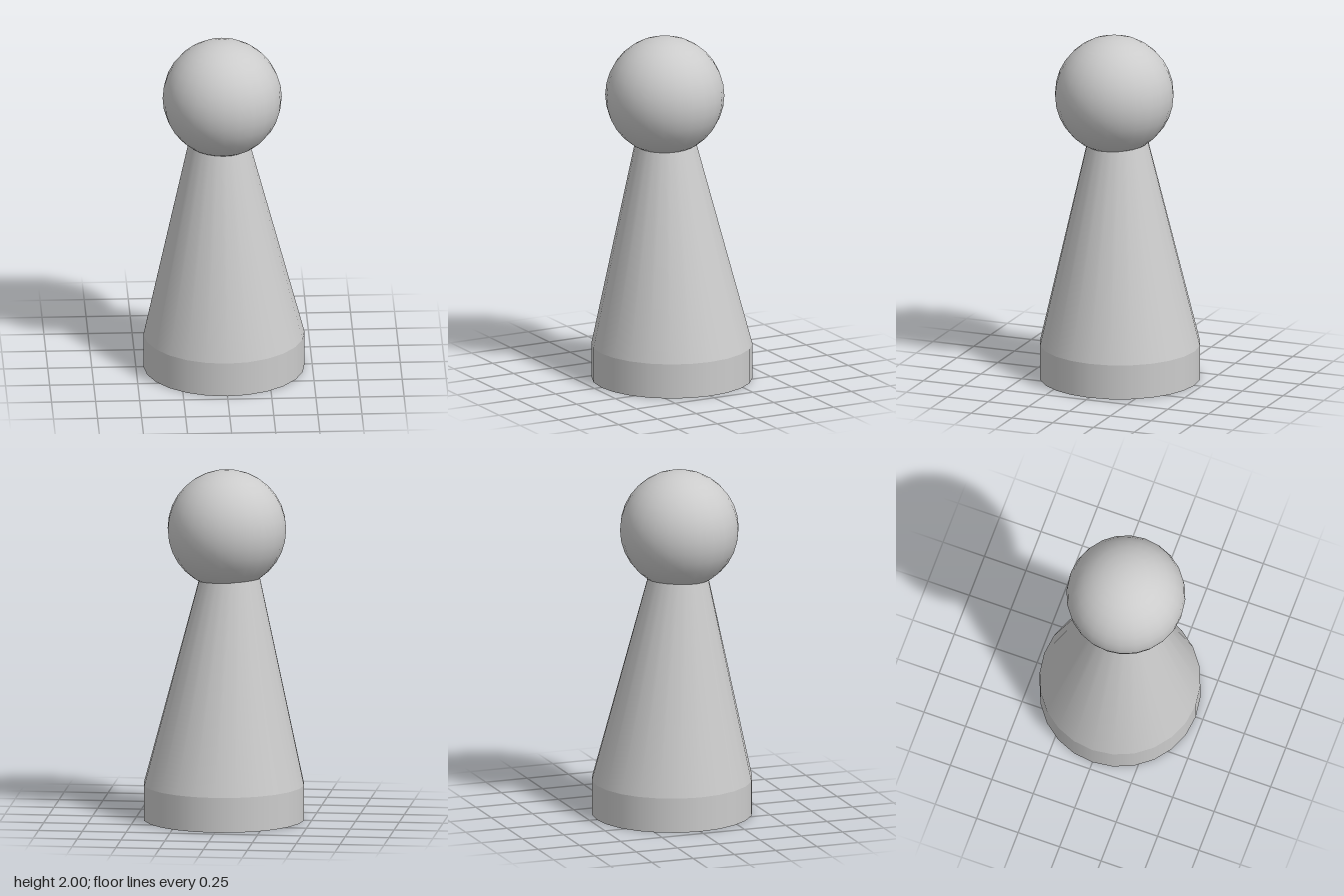
import * as THREE from 'three';

const SEGMENTS = 24;
const BASE_RADIUS = 0.457;
const BASE_HEIGHT = 0.2;

export function createModel() {
  const group = new THREE.Group();
  const material = new THREE.MeshStandardMaterial({ color: 0xcccccc });
  const thinMaterial = new THREE.MeshStandardMaterial({ color: 0xcccccc, side: THREE.DoubleSide });

  const add = (name, geometry, mat, x, y, z) => {
    const mesh = new THREE.Mesh(geometry, mat);
    mesh.name = name;
    mesh.position.set(x, y, z);
    group.add(mesh);
  };

  // Hollow base rim, open underneath
  const rim = new THREE.CylinderGeometry(BASE_RADIUS, BASE_RADIUS, BASE_HEIGHT, SEGMENTS, 1, true);
  add('baseRim', rim, thinMaterial, 0, BASE_HEIGHT / 2, 0);

  // Tapered body, leaning slightly; its lower cap closes the hollow base
  const height = 1.3;
  const body = new THREE.CylinderGeometry(0.144, BASE_RADIUS, height, SEGMENTS);
  body.translate(0, height / 2, 0);
  const lean = new THREE.Matrix4().set(
    1, -0.033 / height, 0, 0,
    0, 1, 0, 0,
    0, 0.028 / height, 1, 0,
    0, 0, 0, 1
  );
  body.applyMatrix4(lean);
  add('body', body, material, 0, BASE_HEIGHT, 0);

  // Ball head, set a little off the axis
  add('head', new THREE.SphereGeometry(0.338, SEGMENTS, 16), material, -0.012, 1.662, 0.04);

  return group;
}
